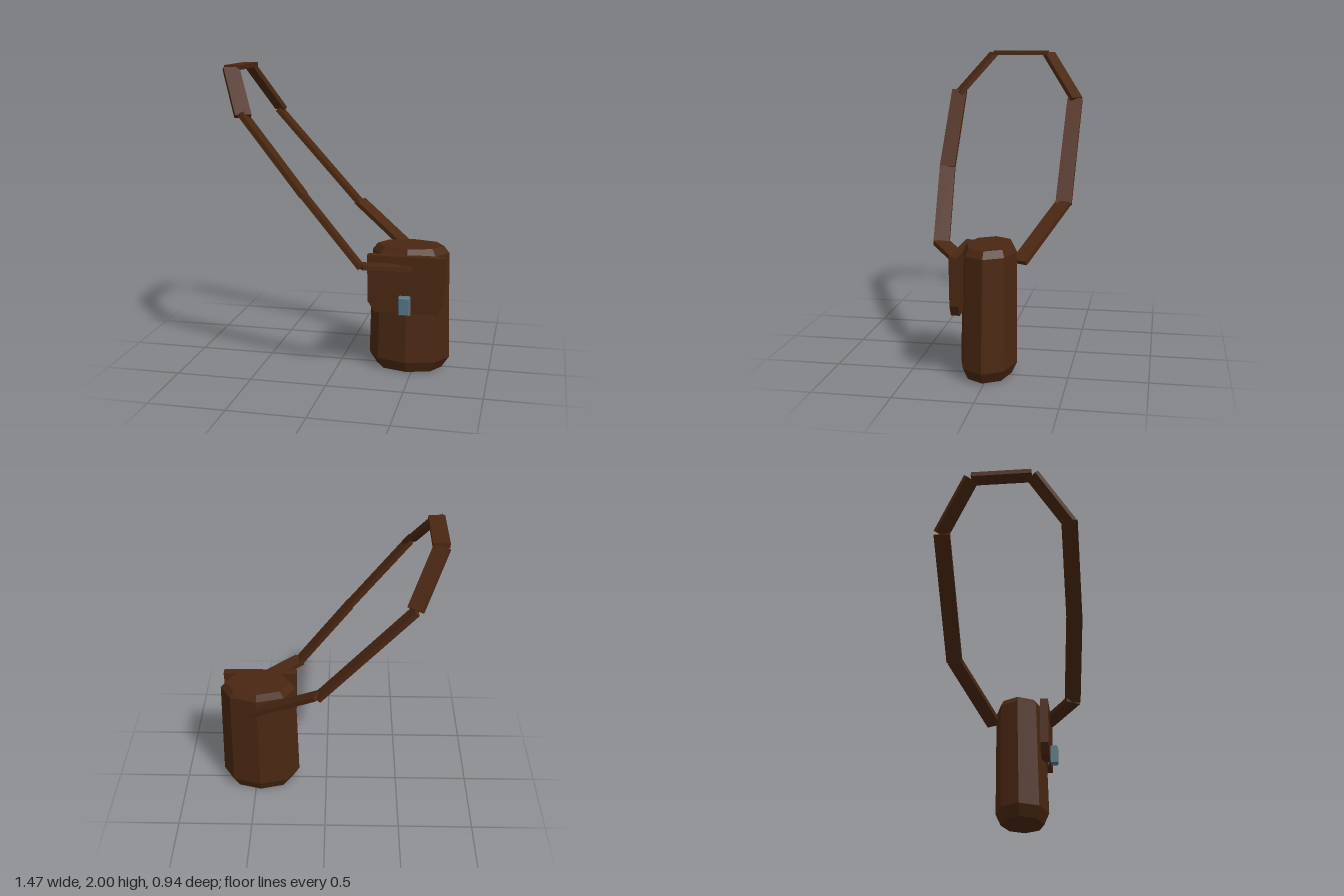
import * as THREE from 'three';

const leather = new THREE.MeshStandardMaterial({ color: 0x4a2712 });
leather.name = 'brown leather';
const metal = new THREE.MeshStandardMaterial({ color: 0x587583 });
metal.name = 'blue grey metal';

// Gives every face its own flat normal
function faceted(geometry) {
  const flat = geometry.index ? geometry.toNonIndexed() : geometry;
  flat.computeVertexNormals();
  return flat;
}

function addMesh(parent, name, geometry, material) {
  const mesh = new THREE.Mesh(faceted(geometry), material);
  mesh.name = name;
  parent.add(mesh);
  return mesh;
}

// Eight-sided oval pouch with bevelled top and bottom
function pouchGeometry() {
  const profile = [[0, 0], [0.22, 0], [0.27, 0.075], [0.255, 0.79], [0.22, 0.835], [0, 0.835]]
    .map(([r, y]) => new THREE.Vector2(r, y));
  const geometry = new THREE.LatheGeometry(profile, 8);
  const p = geometry.attributes.position;
  for (let i = 0; i < p.count; i++) {
    // squash front to back, with a slight backward lean
    p.setZ(i, p.getZ(i) * 0.67 + 0.01 - 0.012 * p.getY(i));
  }
  return geometry.translate(0.465, 0, 0);
}

// Flap outline, with clipped lower corners
function flapGeometry() {
  const outline = [[0.21, 0.8], [0.215, 0.49], [0.26, 0.42], [0.665, 0.42], [0.705, 0.49], [0.717, 0.8]]
    .map(([x, y]) => new THREE.Vector2(x, y));
  return new THREE.ExtrudeGeometry(new THREE.Shape(outline), { depth: 0.055, bevelEnabled: false })
    .translate(0, 0, 0.153);
}

// Clasp block with a chamfered front
function claspGeometry() {
  const w = 0.037, h = 0.06, c = 0.007;
  const shape = new THREE.Shape([[-w + c, -h + c], [w - c, -h + c], [w - c, h - c], [-w + c, h - c]]
    .map(([x, y]) => new THREE.Vector2(x, y)));
  return new THREE.ExtrudeGeometry(shape, {
    depth: 0.066, bevelThickness: c, bevelSize: c, bevelSegments: 1,
  }).translate(0.461, 0.48, 0.185);
}

// Straight strap links, each as [start, end]
const links = [
  [[0.48, 0.72, 0.18], [0.195, 0.77, 0.38]],
  [[0.2, 0.765, 0.375], [-0.16, 1.22, 0.413]],
  [[-0.155, 1.215, 0.413], [-0.55, 1.72, 0.41]],
  [[-0.54, 1.7, 0.415], [-0.69, 1.98, 0.185]],
  [[-0.685, 1.985, 0.18], [-0.685, 1.985, -0.21]],
  [[-0.69, 1.98, -0.215], [-0.535, 1.67, -0.43]],
  [[-0.545, 1.665, -0.42], [0.04, 1.02, -0.41]],
  [[0.04, 1.03, -0.41], [0.475, 0.725, -0.185]],
];

export function createModel() {
  const model = new THREE.Group();
  model.name = 'shoulderBag';

  addMesh(model, 'pouch', pouchGeometry(), leather);
  addMesh(model, 'flap', flapGeometry(), leather);
  addMesh(model, 'clasp', claspGeometry(), metal);

  // Shoulder strap, with the width of each link kept level
  const strap = new THREE.Group();
  strap.name = 'strap';
  model.add(strap);
  links.forEach(([from, to], i) => {
    const a = new THREE.Vector3(...from);
    const b = new THREE.Vector3(...to);
    const link = addMesh(strap, `strapLink${i + 1}`,
      new THREE.BoxGeometry(0.105, 0.03, a.distanceTo(b)), leather);
    link.position.lerpVectors(a, b, 0.5);
    const turn = new THREE.Matrix4().lookAt(b, a, new THREE.Vector3(0, 1, 0));
    link.quaternion.setFromRotationMatrix(turn);
  });

  return model;
}
